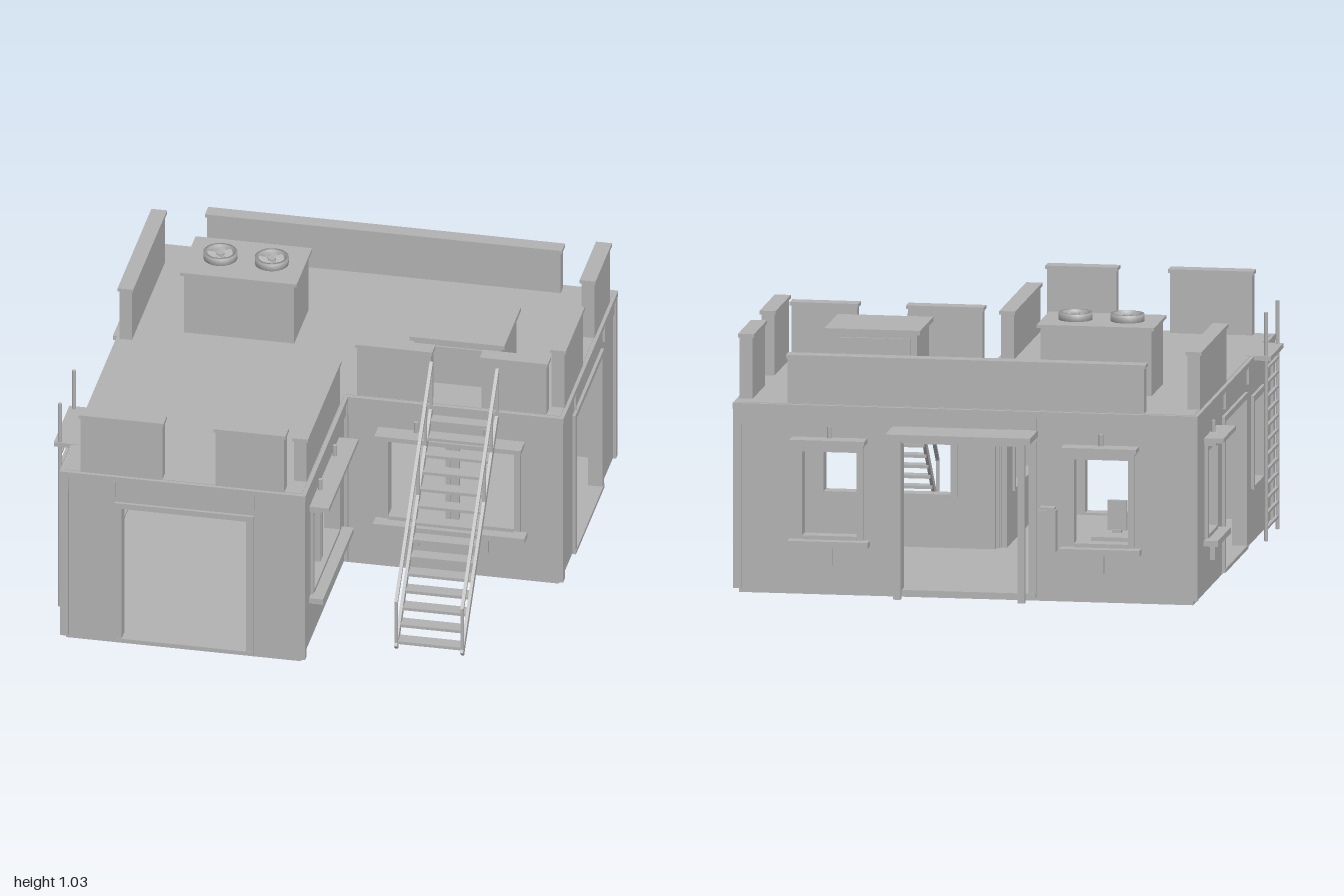
import * as THREE from 'three';

const grey = new THREE.MeshStandardMaterial({ color: 0xb2b2b2 });
grey.name = 'concrete grey';

function add(parent, name, geo, x = 0, y = 0, z = 0) {
  const m = new THREE.Mesh(geo, grey);
  m.name = name;
  m.position.set(x, y, z);
  parent.add(m);
  return m;
}

// box given by its limits on each axis
function box(parent, name, x0, x1, y0, y1, z0, z1) {
  return add(parent, name, new THREE.BoxGeometry(x1 - x0, y1 - y0, z1 - z0),
    (x0 + x1) / 2, (y0 + y1) / 2, (z0 + z1) / 2);
}

// straight bar between two points
function bar(parent, name, a, b, w, h = w) {
  const p = new THREE.Vector3(...a), q = new THREE.Vector3(...b);
  const m = add(parent, name, new THREE.BoxGeometry(w, h, p.distanceTo(q)));
  m.position.copy(p).lerp(q, 0.5);
  m.lookAt(q);
  return m;
}

// L-shaped slab; s shrinks the outline
function slab(parent, name, y0, y1, s) {
  const pts = [[-0.86 + s, 0.81 - s], [-0.86 + s, -0.97 + s], [0.07 - s, -0.97 + s],
    [0.07 - s, -0.18 + s], [0.91 - s, -0.18 + s], [0.91 - s, 0.81 - s]];
  const shape = new THREE.Shape(pts.map(p => new THREE.Vector2(...p)));
  const geo = new THREE.ExtrudeGeometry(shape, { depth: y1 - y0, bevelEnabled: false });
  geo.rotateX(-Math.PI / 2);
  add(parent, name, geo, 0, y0, 0);
}

// surround of a doorway
function doorFrame(g, c, h) {
  for (const s of [-1, 1]) {
    const a = c + s * h, b = c + s * (h + 0.028);
    box(g, 'doorJamb', Math.min(a, b), Math.max(a, b), 0.02, 0.62, -0.045, 0.012);
    box(g, 'headerTick', b - 0.004, b + 0.004, 0.65, 0.715, 0, 0.016);
  }
  box(g, 'doorHead', c - h, c + h, 0.597, 0.62, -0.045, 0.012);
  box(g, 'doorStep', c - h - 0.028, c + h + 0.028, 0.015, 0.03, -0.045, 0.014);
}

// surround, sill, hood and brackets of a window
function windowFrame(g, c, h, hood) {
  const t = 0.025, wide = h > 0.15;
  for (const s of [-1, 1]) {
    const m = c + s * (h + t / 2);
    box(g, 'windowJamb', m - t / 2, m + t / 2, 0.22, 0.575, -0.05, 0.012);
  }
  box(g, 'windowHead', c - h - t, c + h + t, 0.555, 0.58, -0.05, 0.012);
  box(g, 'windowBottom', c - h, c + h, 0.215, 0.23, -0.05, 0.012);
  if (wide) {
    box(g, 'mullion', c - 0.026, c - 0.006, 0.23, 0.555, -0.035, -0.01);
    box(g, 'mullion', c + 0.006, c + 0.026, 0.23, 0.555, -0.035, -0.01);
    box(g, 'mullionCore', c - 0.006, c + 0.006, 0.23, 0.555, -0.028, -0.017);
  }
  if (!hood) return;
  box(g, 'windowHood', c - h - 0.04, c + h + 0.04, 0.592, 0.61, 0, 0.075);
  box(g, 'hoodMoulding', c - h - 0.03, c + h + 0.03, 0.578, 0.592, 0, 0.045);
  box(g, 'windowSill', c - h - 0.05, c + h + 0.05, 0.192, 0.215, 0, 0.055);
  for (const o of wide ? [-0.135, 0.135] : [0]) {
    box(g, 'sillBracket', c + o - 0.011, c + o + 0.011, 0.115, 0.192, 0, 0.02);
    add(g, 'hoodStud', new THREE.CylinderGeometry(0.009, 0.009, 0.05, 8), c + o, 0.63, 0.012);
  }
}

// wall from u0 to u1 facing local +z, turned about y and pushed out by d
function wall(root, name, turn, d, u0, u1, openings) {
  const g = new THREE.Group();
  g.name = name;
  g.rotation.y = turn;
  g.position.set(Math.sin(turn) * d, 0, Math.cos(turn) * d);
  root.add(g);
  const rect = (T, a, b, y0, y1) => new T([[a, y0], [b, y0], [b, y1], [a, y1]]
    .map(p => new THREE.Vector2(...p)));
  const shape = rect(THREE.Shape, u0, u1, 0.018, 0.72);
  for (const o of openings) {
    shape.holes.push(o.door ? rect(THREE.Path, o.c - o.h, o.c + o.h, 0.022, 0.6)
      : rect(THREE.Path, o.c - o.h, o.c + o.h, 0.22, 0.56));
    if (o.door) doorFrame(g, o.c, o.h);
    else windowFrame(g, o.c, o.h, !o.plain);
  }
  add(g, name + 'Panel', new THREE.ExtrudeGeometry(shape, { depth: 0.04, bevelEnabled: false }), 0, 0, -0.04);
  box(g, 'cornice', u0 - 0.014, u1 + 0.014, 0.712, 0.735, -0.03, 0.014);
  box(g, 'frieze', u0 - 0.007, u1 + 0.007, 0.655, 0.712, -0.03, 0.007);
  // corner strips
  for (const [a, b] of [[u0 - 0.012, u0 + 0.016], [u1 - 0.016, u1 + 0.012]])
    box(g, 'cornerStrip', a, b, 0.018, 0.712, -0.02, 0.012);
}

// roof parapet block with a projecting cap
function parapet(root, x0, x1, z0, z1, top) {
  box(root, 'parapet', x0 + 0.006, x1 - 0.006, 0.73, top - 0.014, z0 + 0.006, z1 - 0.006);
  box(root, 'parapetCap', x0, x1, top - 0.014, top, z0, z1);
}

export function createModel() {
  const root = new THREE.Group();
  root.name = 'building';
  const P = Math.PI;

  slab(root, 'floor', 0, 0.022, 0.008);
  slab(root, 'roof', 0.7, 0.737, 0.002);

  // walls with their doors and windows
  wall(root, 'wingFrontWall', 0, 0.97, -0.86, 0.07, [{ c: -0.39, h: 0.242, door: true }]);
  wall(root, 'mainFrontWall', 0, 0.18, 0.07, 0.91, [{ c: 0.485, h: 0.245 }]);
  wall(root, 'wingSideWall', P / 2, 0.07, -0.97, -0.18, [{ c: -0.565, h: 0.235 }]);
  wall(root, 'leftSideWall', P / 2, 0.91, -0.18, 0.81, [{ c: 0.305, h: 0.24, door: true }]);
  wall(root, 'backWall', P, 0.81, -0.91, 0.86,
    [{ c: 0.5, h: 0.105 }, { c: -0.55, h: 0.105 }, { c: -0.025, h: 0.245, door: true }]);
  wall(root, 'rightSideWall', -P / 2, 0.86, -0.81, 0.97,
    [{ c: -0.4475, h: 0.105 }, { c: 0.0875, h: 0.24, door: true }, { c: 0.6275, h: 0.11, plain: true }]);

  // parapets around the roof edge
  for (const p of [
    [-0.67, 0.72, -0.81, -0.75, 0.925], [-0.8, -0.47, 0.915, 0.977, 0.985],
    [-0.275, 0.005, 0.915, 0.977, 0.985], [0.01, 0.072, 0.25, 0.88, 0.925],
    [0.11, 0.41, 0.12, 0.182, 0.96], [0.595, 0.86, 0.12, 0.182, 0.96],
    [0.855, 0.917, -0.74, -0.435, 0.988], [0.855, 0.917, -0.235, 0.118, 0.988],
    [-0.866, -0.805, -0.69, -0.06, 0.96]]) parapet(root, ...p);

  // rooftop ventilation unit with two fans
  box(root, 'ventilationUnit', -0.63, -0.2, 0.73, 0.99, -0.43, -0.165);
  box(root, 'ventilationLid', -0.642, -0.188, 0.99, 1.003, -0.442, -0.153);
  for (const x of [-0.515, -0.315]) {
    const fan = new THREE.Group();
    fan.name = 'fan';
    fan.position.set(x, 1.003, -0.298);
    root.add(fan);
    const ring = [[0.052, 0], [0.065, 0], [0.065, 0.028], [0.052, 0.028], [0.052, 0]];
    add(fan, 'fanRing', new THREE.LatheGeometry(ring.map(p => new THREE.Vector2(...p)), 24));
    add(fan, 'fanHub', new THREE.CylinderGeometry(0.016, 0.016, 0.024, 12), 0, 0.012, 0);
    for (let i = 0; i < 4; i++) {
      const blade = add(fan, 'fanBlade', new THREE.BoxGeometry(0.106, 0.004, 0.022), 0, 0.014, 0);
      blade.rotation.set(0.35, i * P / 4, 0, 'YXZ');
    }
  }

  // roof access hatch
  box(root, 'roofHatch', 0.305, 0.645, 0.73, 0.918, -0.26, 0.02);
  box(root, 'roofHatchLid', 0.29, 0.66, 0.918, 0.935, -0.275, 0.035);
  box(root, 'hatchPanel', 0.33, 0.62, 0.76, 0.9, -0.268, -0.26);
  box(root, 'hatchPanel', 0.33, 0.62, 0.76, 0.9, 0.02, 0.027);

  // outside stairs with handrails
  const steps = 14;
  for (let i = 0; i < steps; i++) {
    const y = 0.055 + i * 0.0485, z = 0.815 - i * 0.0465;
    box(root, 'tread', 0.405, 0.665, y - 0.006, y + 0.006, z - 0.028, z + 0.026);
  }
  for (const x of [0.408, 0.665]) {
    bar(root, 'stringer', [x, 0.035, 0.845], [x, 0.715, 0.195], 0.012, 0.03);
    bar(root, 'handrail', [x, 0.23, 0.845], [x, 0.92, 0.185], 0.013);
    for (const z of [0.84, 0.435, 0.3, 0.19]) {
      const y = 0.03 + (0.845 - z) * 1.046;
      box(root, 'railPost', x - 0.006, x + 0.006, y, y + 0.2, z - 0.006, z + 0.006);
    }
  }

  // wall ladder with its roof landing
  for (const z of [0.5, 0.762])
    add(root, 'ladderPole', new THREE.CylinderGeometry(0.008, 0.008, 0.885, 8), -0.918, 0.462, z);
  for (let i = 0; i < 12; i++)
    box(root, 'ladderRung', -0.924, -0.912, 0.064 + i * 0.056, 0.074 + i * 0.056, 0.5, 0.762);
  box(root, 'ladderLanding', -0.94, -0.84, 0.72, 0.738, 0.483, 0.773);

  // back porch canopy on two posts
  box(root, 'canopy', -0.255, 0.305, 0.638, 0.662, -1.0, -0.81);
  for (const x of [-0.215, 0.265])
    box(root, 'canopyPost', x - 0.014, x + 0.014, 0.018, 0.638, -0.97, -0.942);
  box(root, 'meterBox', -0.33, -0.262, 0.2, 0.36, -0.855, -0.81);
  box(root, 'meterBoxLid', -0.325, -0.267, 0.36, 0.37, -0.85, -0.81);

  // indoor desk, screen and stool
  box(root, 'deskTop', -0.62, -0.41, 0.18, 0.2, -0.51, -0.23);
  box(root, 'deskDrawers', -0.61, -0.43, 0.02, 0.18, -0.38, -0.24);
  box(root, 'deskLeg', -0.61, -0.43, 0.02, 0.18, -0.505, -0.49);
  box(root, 'screen', -0.53, -0.455, 0.21, 0.325, -0.405, -0.39);
  box(root, 'screenFoot', -0.51, -0.475, 0.2, 0.212, -0.415, -0.38);
  box(root, 'stool', -0.53, -0.48, 0.08, 0.105, -0.57, -0.52);
  box(root, 'stoolLeg', -0.512, -0.498, 0.02, 0.08, -0.552, -0.538);

  return root;
}
